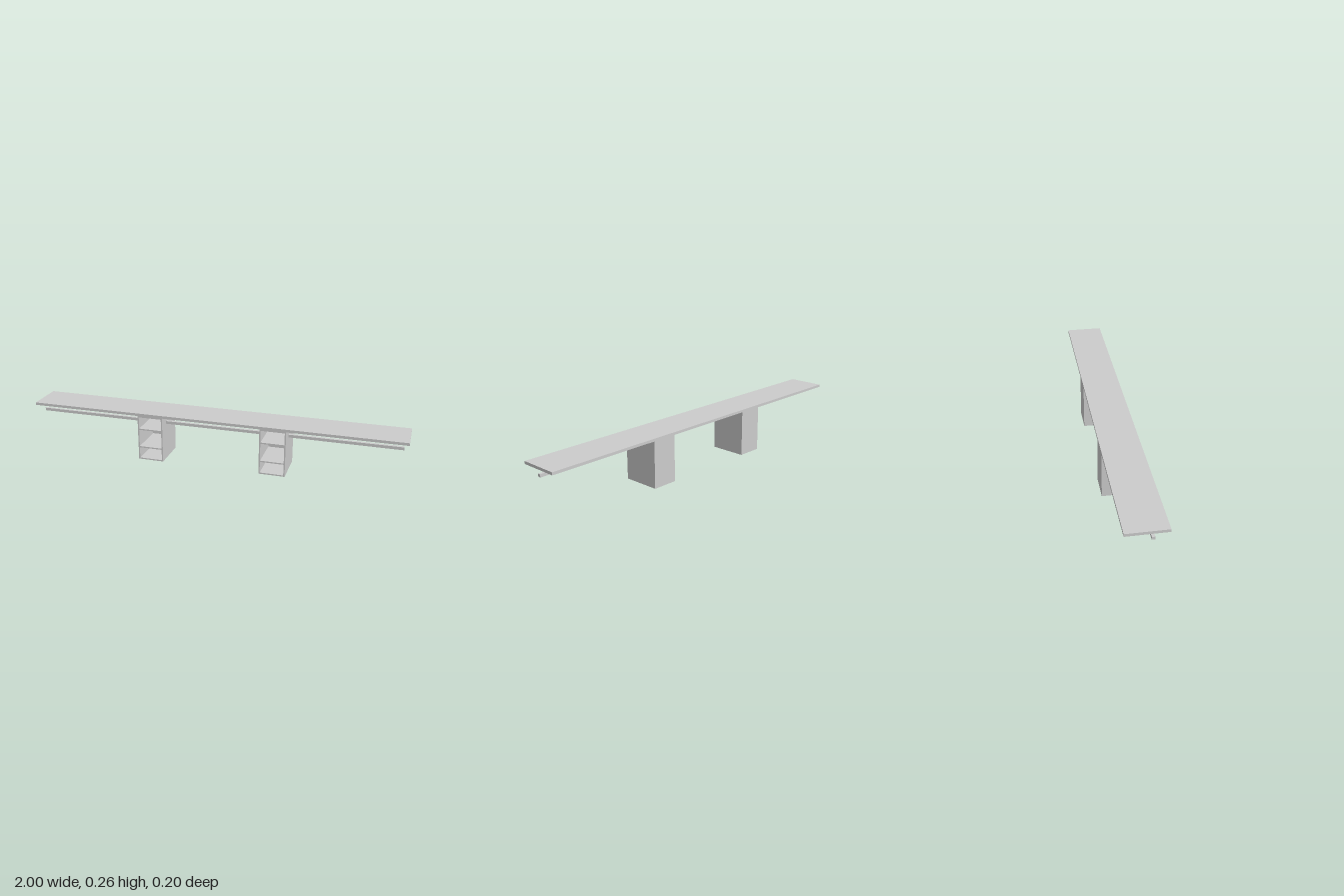
import * as THREE from 'three';

const material = new THREE.MeshStandardMaterial({ color: 0xcccccc, flatShading: true });

// Box given by its lower and upper limits on each axis
function box(name, [x0, x1], [y0, y1], [z0, z1]) {
  const mesh = new THREE.Mesh(new THREE.BoxGeometry(x1 - x0, y1 - y0, z1 - z0), material);
  mesh.position.set((x0 + x1) / 2, (y0 + y1) / 2, (z0 + z1) / 2);
  mesh.name = name;
  return mesh;
}

const TOP = 0.26, UNDER = 0.246, DEPTH = 0.1;
const INNER = 0.262, OUTER = 0.4, WALL = 0.007;

// Open-fronted cabinet with three compartments
function cabinet(name, x0, x1) {
  const group = new THREE.Group();
  group.name = name;
  const inside = [x0 + WALL, x1 - WALL];
  const z = [-DEPTH + WALL, DEPTH];
  group.add(
    box('sidePanelRight', [x0, x0 + WALL], [0, UNDER], z),
    box('sidePanelLeft', [x1 - WALL, x1], [0, UNDER], z),
    box('backPanel', [x0, x1], [0, UNDER], [-DEPTH, -DEPTH + WALL])
  );
  const boards = { bottomPanel: 0, lowerShelf: 0.067, upperShelf: 0.168, topPanel: UNDER - WALL };
  for (const [board, y] of Object.entries(boards)) {
    group.add(box(board, inside, [y, y + WALL], z));
  }
  return group;
}

export function createModel() {
  const model = new THREE.Group();
  model.name = 'longDesk';

  // Long worktop
  model.add(box('worktop', [-1, 1], [UNDER, TOP], [-DEPTH, DEPTH]));

  // Two cabinets carrying the worktop
  model.add(cabinet('cabinetRight', -OUTER, -INNER), cabinet('cabinetLeft', INNER, OUTER));

  // Slim rails between and beyond the cabinets
  const rails = { railRight: [-0.978, -OUTER], railMiddle: [-INNER, INNER], railLeft: [OUTER, 0.976] };
  for (const [name, x] of Object.entries(rails)) {
    model.add(box(name, x, [0.195, 0.21], [0.024, 0.039]));
  }
  return model;
}
